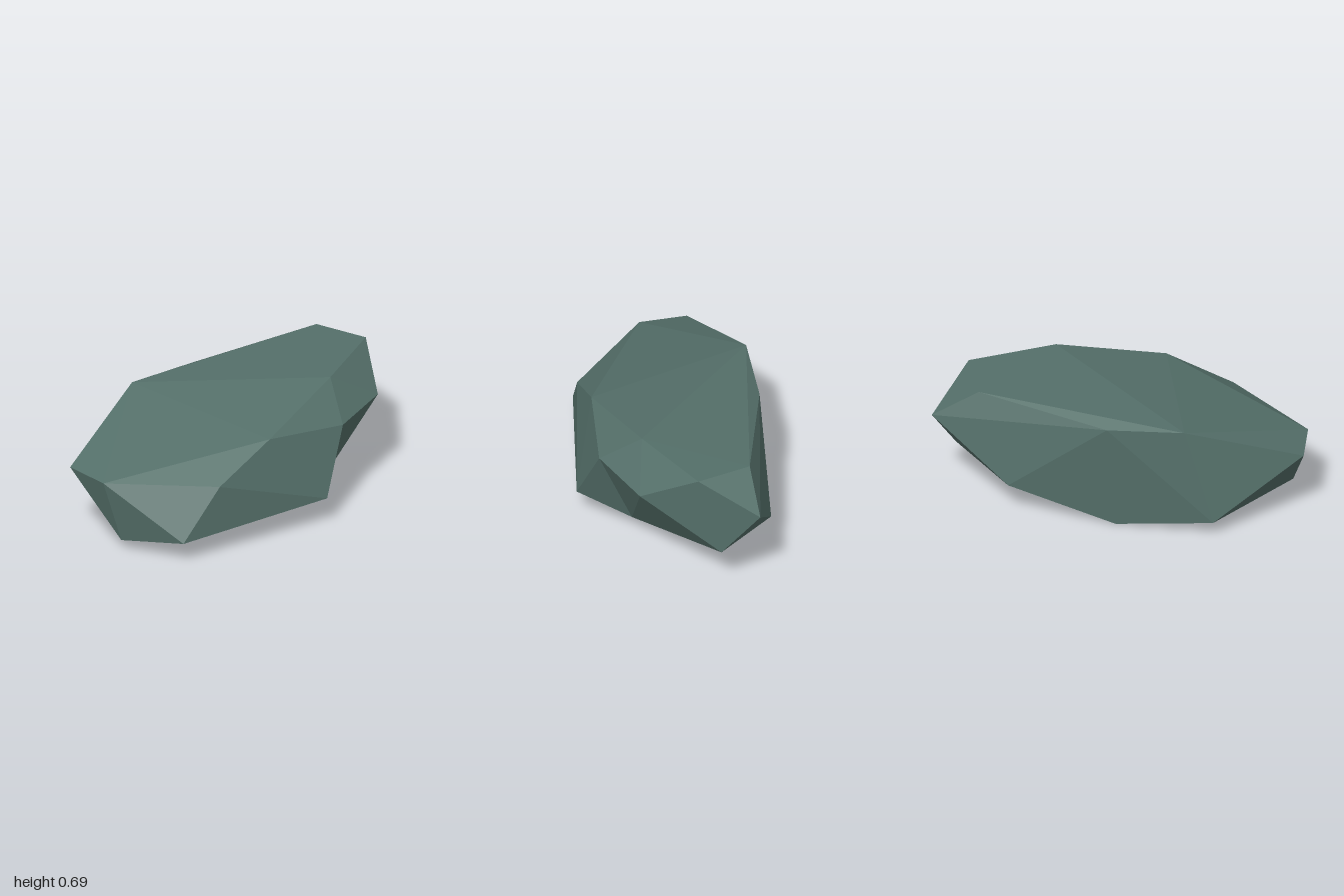
import * as THREE from 'three';

// Corner points of the rock: crown, waist and underside
const CORNERS = [
  [-1, 0.41, -0.22], [-0.97, 0.41, 0.04], [-0.4, 0.635, -0.475], [0.02, 0.615, -0.502],
  [0.75, 0.68, -0.37], [1, 0.52, -0.4], [0.865, 0.685, -0.08], [0.91, 0.237, -0.2],
  [0.725, 0.508, 0.22], [0.36, 0.508, 0.4], [0.44, 0.68, 0.178], [-0.12, 0.562, 0.39],
  [-0.48, 0.4, 0.428], [-0.72, 0.128, 0.425], [0.18, 0.162, 0.502], [0.33, 0.08, 0.22],
  [0.46, 0.048, -0.07], [-0.88, 0.058, 0.08], [-0.13, 0, 0.1], [-0.02, 0, -0.465],
  [0.56, 0.195, -0.506], [-0.56, 0.095, -0.495],
];

// Facets grouped as fans: hub corner first, then its neighbours anticlockwise (counted from 1)
const FANS = [
  [11, 3, 12, 10, 9, 7, 5, 3],        // crown
  [2, 14, 13, 12, 3, 1, 18, 14],      // right end
  [8, 7, 9, 16, 17, 21, 6, 7],        // left end
  [15, 16, 10, 12, 13, 14],           // front
  [4, 3, 5, 6, 21, 20, 22, 3],        // back
  [19, 14, 18, 22, 20, 17, 16, 15, 14], // underside
  [22, 18, 1, 3],                     // back right corner
  [10, 16, 9], [17, 20, 21], [7, 6, 5], // joining facets
];

function rockGeometry() {
  const positions = [];
  for (const [hub, ...ring] of FANS) {
    for (let i = 0; i + 1 < ring.length; i++) {
      for (const n of [hub, ring[i], ring[i + 1]]) positions.push(...CORNERS[n - 1]);
    }
  }
  const geometry = new THREE.BufferGeometry();
  geometry.setAttribute('position', new THREE.Float32BufferAttribute(positions, 3));
  geometry.computeVertexNormals(); // unshared corners give flat facets
  return geometry;
}

export function createModel() {
  const stone = new THREE.MeshStandardMaterial({ color: 0x546f69, flatShading: true });
  stone.name = 'grey green stone';
  const rock = new THREE.Mesh(rockGeometry(), stone);
  rock.name = 'rock';
  const group = new THREE.Group();
  group.name = 'boulder';
  group.add(rock);
  return group;
}
